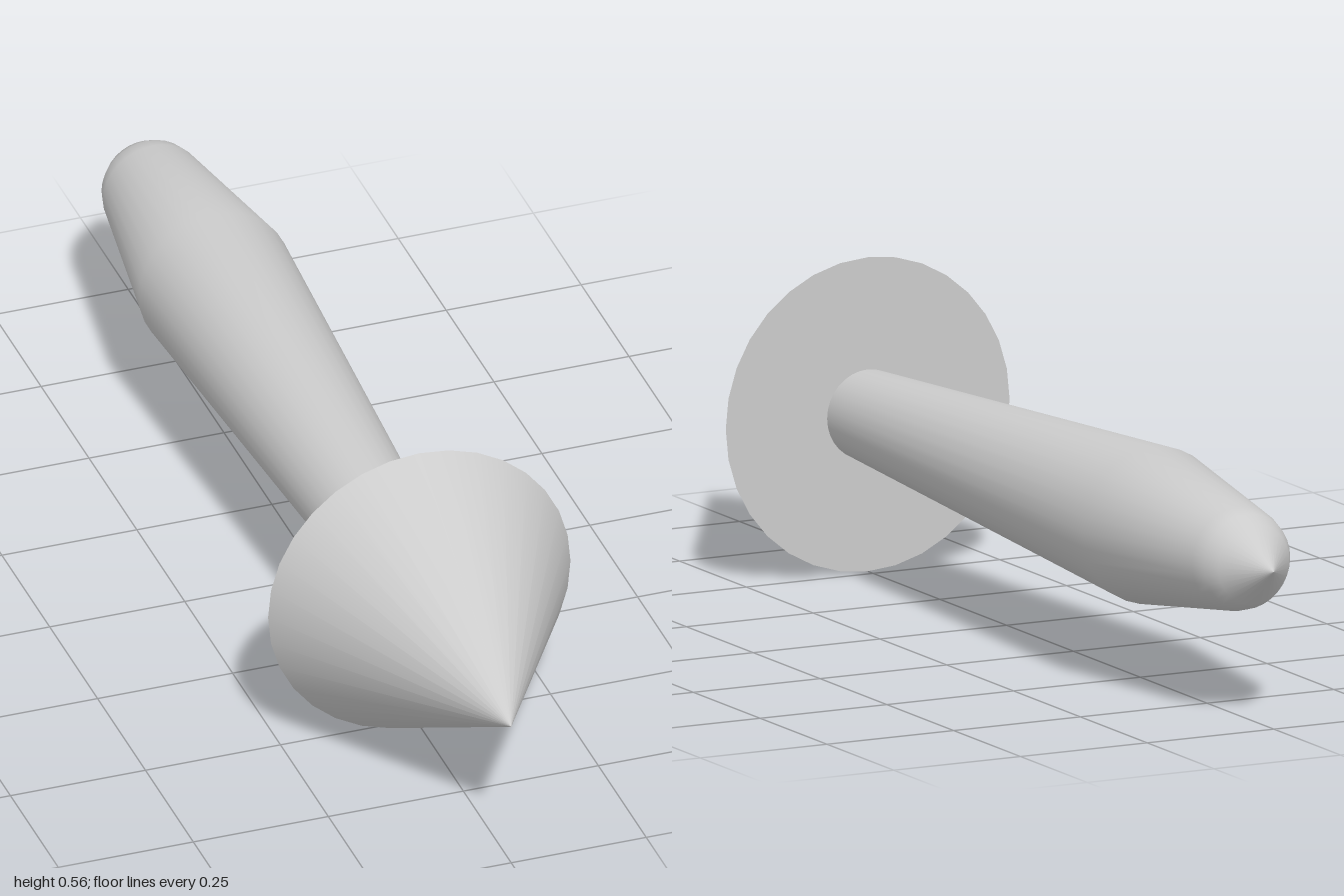
import * as THREE from 'three';

export function createModel() {
  const group = new THREE.Group();
  const material = new THREE.MeshStandardMaterial({ color: 0xcccccc });
  const sides = 32;
  const radius = 0.28;
  const headBase = 0.52;

  // Parts are turned about y, then laid down so that their +y points to the front
  const addPart = (name, geometry, z) => {
    geometry.rotateX(Math.PI / 2);
    const mesh = new THREE.Mesh(geometry, material);
    mesh.name = name;
    mesh.position.set(0, radius, z);
    group.add(mesh);
  };

  // Pointed head with a flat back
  const headLength = 1 - headBase;
  addPart('coneHead', new THREE.ConeGeometry(radius, headLength, sides), headBase + headLength / 2);

  // Handle: rounded tail, swelling, then a long taper into the head
  const profile = [
    [0, -1], [0.07, -0.925], [0.085, -0.9], [0.093, -0.87],
    [0.14, -0.55], [0.08, headBase],
  ].map(([r, z]) => new THREE.Vector2(r, z));
  addPart('handle', new THREE.LatheGeometry(profile, sides), 0);

  return group;
}
